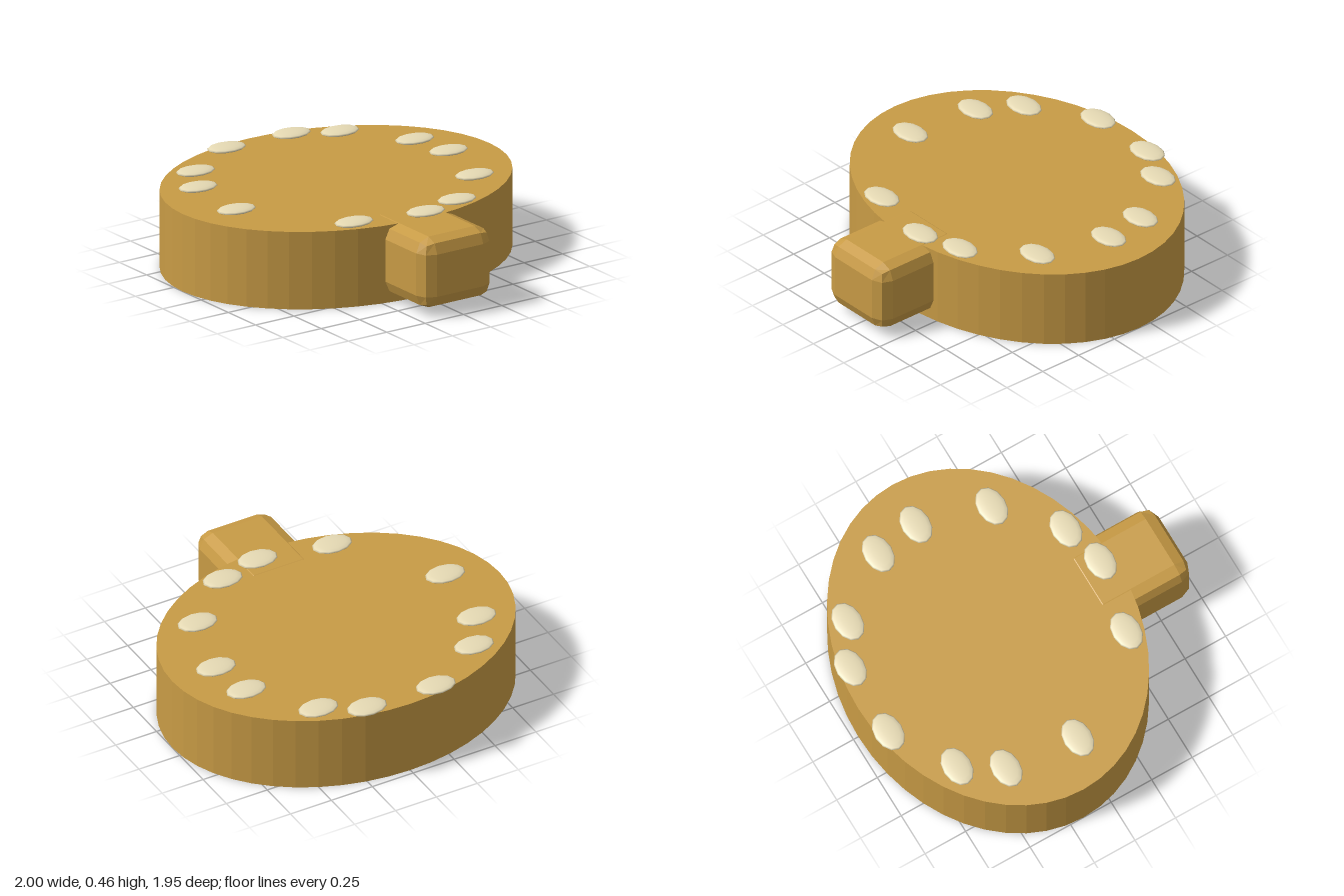
import * as THREE from 'three';
import { RoundedBoxGeometry } from 'three/addons/geometries/RoundedBoxGeometry.js';

export function createModel() {
  const model = new THREE.Group();
  const bodyMat = new THREE.MeshStandardMaterial({ color: 0xc89b45, flatShading: true });
  const studMat = new THREE.MeshStandardMaterial({ color: 0xe6dab4 });

  const add = (name, geometry, material, x, y, z) => {
    const mesh = new THREE.Mesh(geometry, material);
    mesh.name = name;
    mesh.position.set(x, y, z);
    model.add(mesh);
    return mesh;
  };

  // Thick oval disc
  const height = 0.435;
  const disc = add('disc', new THREE.CylinderGeometry(1, 1, height, 48), bodyMat, 0, height / 2, -0.17);
  disc.scale.z = 0.8;

  // Bevelled block sticking out of the front, flush with the disc's top
  add('frontBlock', new RoundedBoxGeometry(0.46, 0.397, 0.6, 1, 0.08), bodyMat, 0, 0.2385, 0.67);

  // Flat oval studs scattered around the rim: [x, z]
  const studs = [
    [-0.195, -0.9], [0.22, -0.89], [0.45, -0.77], [0.7, -0.435],
    [0.74, -0.18], [0.625, 0.22], [0.315, 0.495], [0.065, 0.56],
    [-0.345, 0.48], [-0.735, -0.05], [-0.69, -0.465], [-0.55, -0.685],
  ];
  const studGeometry = new THREE.SphereGeometry(1, 12, 8).scale(0.115, 0.016, 0.078);
  studs.forEach(([x, z], i) => add(`stud${i + 1}`, studGeometry, studMat, x, 0.444, z));

  return model;
}
